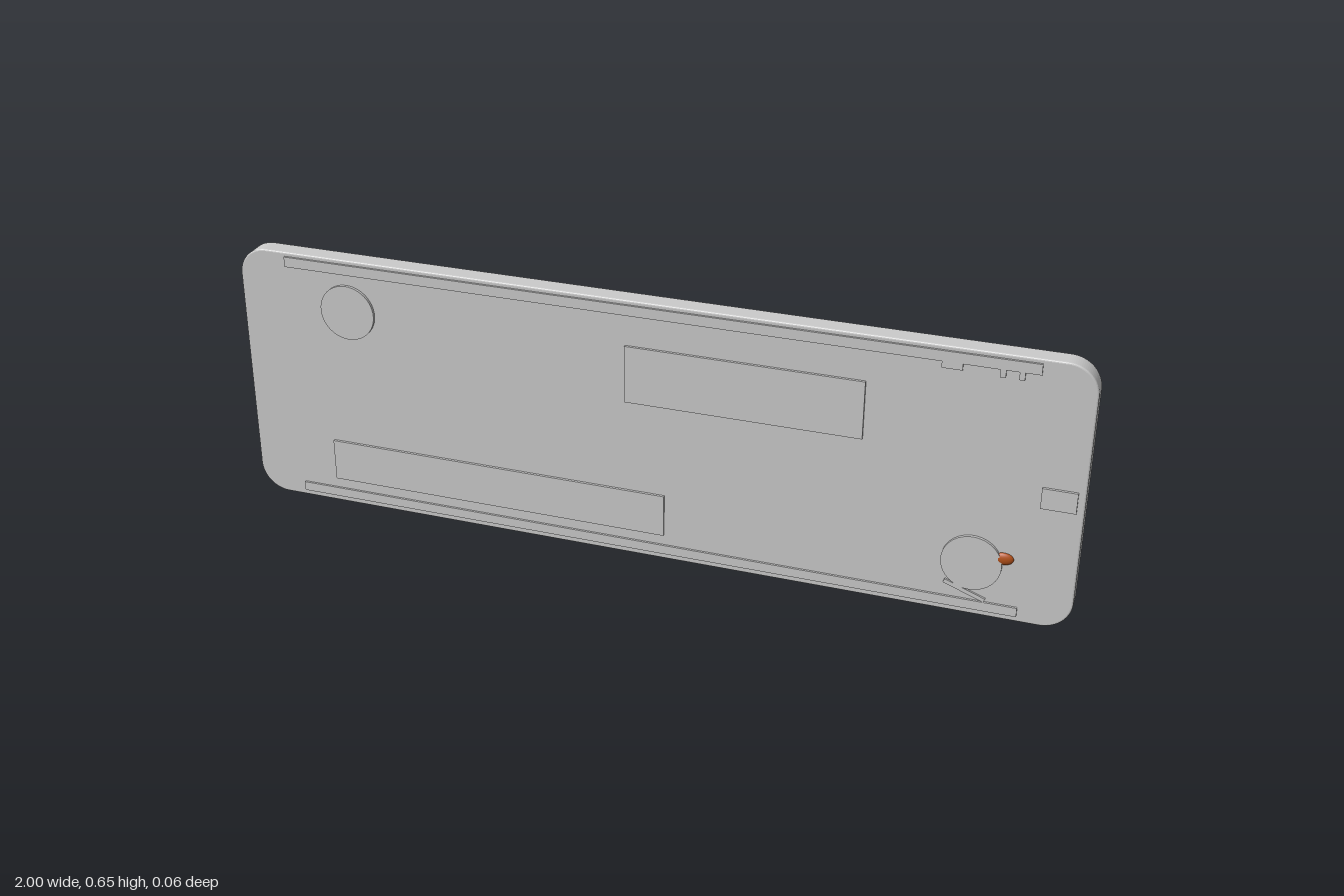
import * as THREE from 'three';

const grey = new THREE.MeshStandardMaterial({ color: 0xcccccc });
const orange = new THREE.MeshStandardMaterial({ color: 0xb5521b });
const FACE = 0.02; // z of the slab's front face

function roundedRect(w, h, r) {
  const s = new THREE.Shape();
  s.absarc(w / 2 - r, h / 2 - r, r, 0, Math.PI / 2);
  s.absarc(-w / 2 + r, h / 2 - r, r, Math.PI / 2, Math.PI);
  s.absarc(-w / 2 + r, -h / 2 + r, r, Math.PI, Math.PI * 1.5);
  s.absarc(w / 2 - r, -h / 2 + r, r, Math.PI * 1.5, Math.PI * 2);
  s.closePath();
  return s;
}

export function createModel() {
  const model = new THREE.Group();
  model.name = 'plate';

  const add = (name, geometry, x, y, z, material = grey) => {
    const mesh = new THREE.Mesh(geometry, material);
    mesh.name = name;
    mesh.position.set(x, y, z);
    model.add(mesh);
    return mesh;
  };

  // flat raised rectangle given by its edges
  const raised = (name, x0, x1, y0, y1, top = 0.026) => {
    const back = FACE - 0.002;
    return add(name, new THREE.BoxGeometry(x1 - x0, y1 - y0, top - back),
      (x0 + x1) / 2, (y0 + y1) / 2, (top + back) / 2);
  };

  // main slab with rounded corners and a slight edge bevel
  const bevel = 0.004;
  const slab = new THREE.ExtrudeGeometry(roundedRect(2 - 2 * bevel, 0.65 - 2 * bevel, 0.066), {
    depth: 0.048 - 2 * bevel, bevelThickness: bevel, bevelSize: bevel, bevelSegments: 3, curveSegments: 12,
  });
  add('slab', slab, 0, 0.325, -0.028 + bevel);

  // long trim strips along the top and bottom edges
  raised('topStrip', -0.88, 0.88, 0.615, 0.64, 0.025);
  raised('bottomStrip', -0.88, 0.88, 0.015, 0.038, 0.025);

  // raised panels
  raised('upperPanel', -0.04, 0.51, 0.4, 0.54);
  raised('lowerPanel', -0.79, 0.055, 0.065, 0.17);
  raised('sideTab', 0.906, 0.983, 0.3, 0.35);

  // small marks under the top strip
  raised('wideMark', 0.67, 0.715, 0.6, 0.618, 0.025);
  for (const x of [0.8, 0.84]) raised('smallMark', x - 0.006, x + 0.006, 0.597, 0.618, 0.025);

  // slanted bar beneath the right disc
  const bar = raised('slantedBar', 0.71, 0.81, 0.055, 0.065, 0.025);
  bar.rotation.z = -0.36;

  // round discs
  for (const [x, y] of [[-0.725, 0.52], [0.77, 0.135]]) {
    const disc = new THREE.CylinderGeometry(0.068, 0.068, 0.009, 48).rotateX(Math.PI / 2);
    add('disc', disc, x, y, FACE + 0.0025);
  }

  // coloured oval bead beside the right disc
  const bead = add('bead', new THREE.SphereGeometry(1, 24, 16), 0.84, 0.157, FACE, orange);
  bead.scale.set(0.022, 0.015, 0.0085);

  return model;
}
